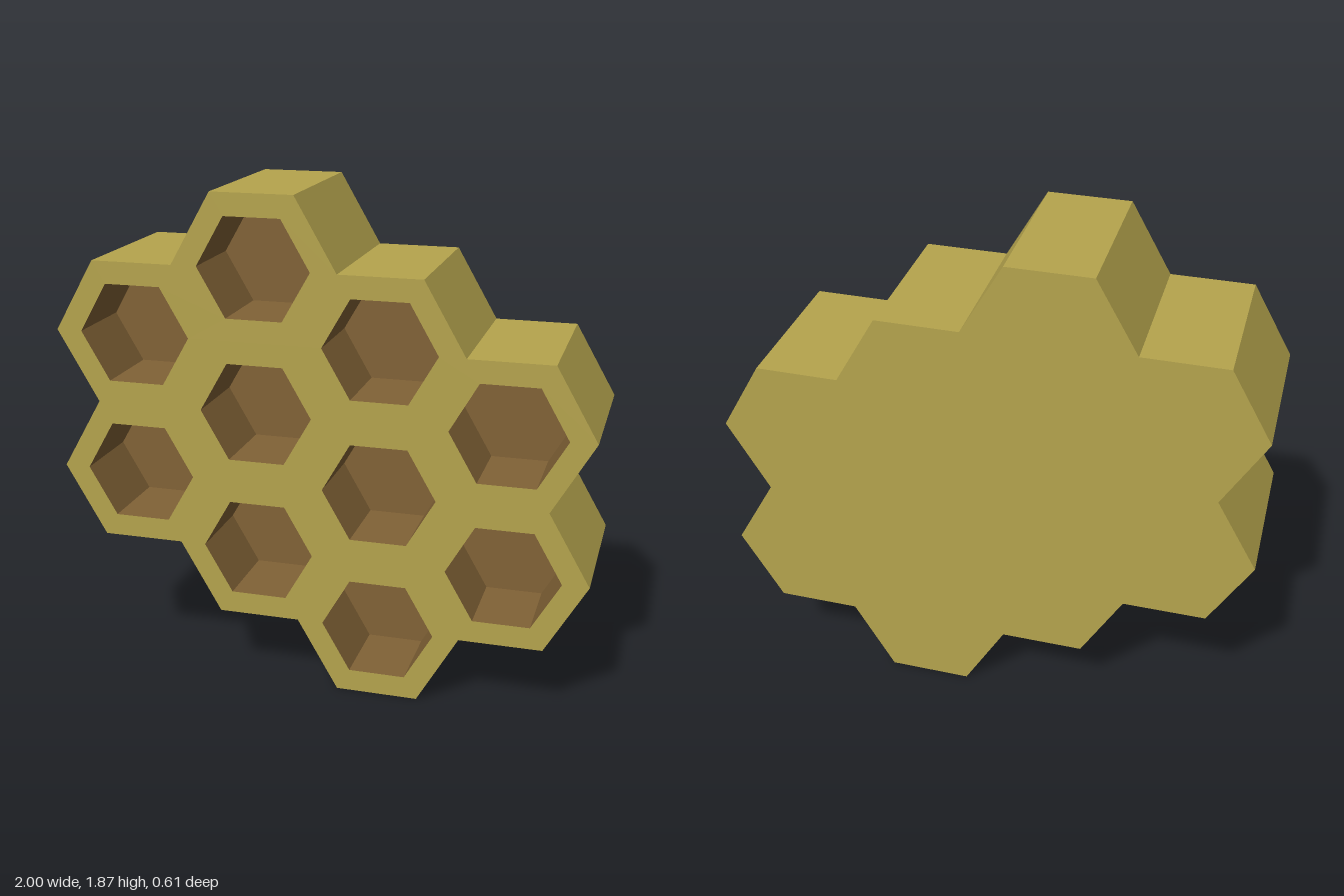
import * as THREE from 'three';

const R = 2 / 6.5;                 // outer cell radius
const UX = R / 2;                  // hex lattice steps
const UY = R * Math.sqrt(3) / 2;
const FRONT = 0.304, BACK = -0.304, FLOOR = 0;
const HOLE = 0.686;                // hollow size relative to the cell

// Rows of cells in each column, in lattice steps
const COLUMNS = [[3, 5], [2, 4, 6], [1, 3, 5], [2, 4]];
const CORNERS = [[2, 0], [1, 1], [-1, 1], [-2, 0], [-1, -1], [1, -1]];

const cells = COLUMNS.flatMap((rows, c) => rows.map((y) => [-4.5 + 3 * c, y]));

// Counter-clockwise hexagon around a cell centre
const hexagon = ([cx, cy], s = 1) =>
  CORNERS.map(([x, y]) => new THREE.Vector2((cx + x * s) * UX, (cy + y * s) * UY));

// Outer outline of all cells: edges shared by two cells cancel out
function combOutline() {
  const next = new Map();
  const edges = new Set();
  const key = (x, y) => `${x},${y}`;
  const all = cells.flatMap(([cx, cy]) => CORNERS.map(([x, y], i) => {
    const [u, v] = CORNERS[(i + 1) % 6];
    return [key(cx + x, cy + y), key(cx + u, cy + v)];
  }));
  all.forEach(([a, b]) => edges.add(`${a}>${b}`));
  all.forEach(([a, b]) => { if (!edges.has(`${b}>${a}`)) next.set(a, b); });
  const points = [];
  const start = next.keys().next().value;
  let k = start;
  do {
    const [x, y] = k.split(',').map(Number);
    points.push(new THREE.Vector2(x * UX, y * UY));
    k = next.get(k);
  } while (k !== start);
  return points;
}

// Flat-sided wall along a closed loop; faces outward for counter-clockwise loops
function wall(points, z0, z1) {
  const pos = [];
  points.forEach((a, i) => {
    const b = points[(i + 1) % points.length];
    pos.push(a.x, a.y, z0, b.x, b.y, z0, b.x, b.y, z1);
    pos.push(a.x, a.y, z0, b.x, b.y, z1, a.x, a.y, z1);
  });
  const g = new THREE.BufferGeometry();
  g.setAttribute('position', new THREE.Float32BufferAttribute(pos, 3));
  g.computeVertexNormals();
  return g;
}

export function createModel() {
  const wax = new THREE.MeshStandardMaterial({ color: 0xb5a44d });
  wax.name = 'wax gold';
  const hollow = new THREE.MeshStandardMaterial({ color: 0x816236 });
  hollow.name = 'hollow brown';

  const model = new THREE.Group();
  model.name = 'honeycomb';
  const add = (name, geometry, material, parent = model) => {
    const mesh = new THREE.Mesh(geometry, material);
    mesh.name = name;
    parent.add(mesh);
    return mesh;
  };

  // Comb body: pierced front, plain back, and the rim between them
  const outline = combOutline();
  const face = new THREE.Shape(outline);
  cells.forEach((c) => face.holes.push(new THREE.Path(hexagon(c, HOLE).reverse())));
  add('combFront', new THREE.ShapeGeometry(face).translate(0, 0, FRONT), wax);

  const mirrored = new THREE.Shape(outline.map((p) => new THREE.Vector2(-p.x, p.y)));
  add('combBack', new THREE.ShapeGeometry(mirrored).rotateY(Math.PI).translate(0, 0, BACK), wax);
  add('combRim', wall(outline, BACK, FRONT), wax);

  // Hollow cells: inward-facing walls and a floor
  cells.forEach((c) => {
    const cell = new THREE.Group();
    cell.name = 'cell';
    model.add(cell);
    const loop = hexagon(c, HOLE);
    add('cellFloor', new THREE.ShapeGeometry(new THREE.Shape(loop)).translate(0, 0, FLOOR), hollow, cell);
    add('cellWalls', wall([...loop].reverse(), FLOOR, FRONT), hollow, cell);
  });

  return model;
}
